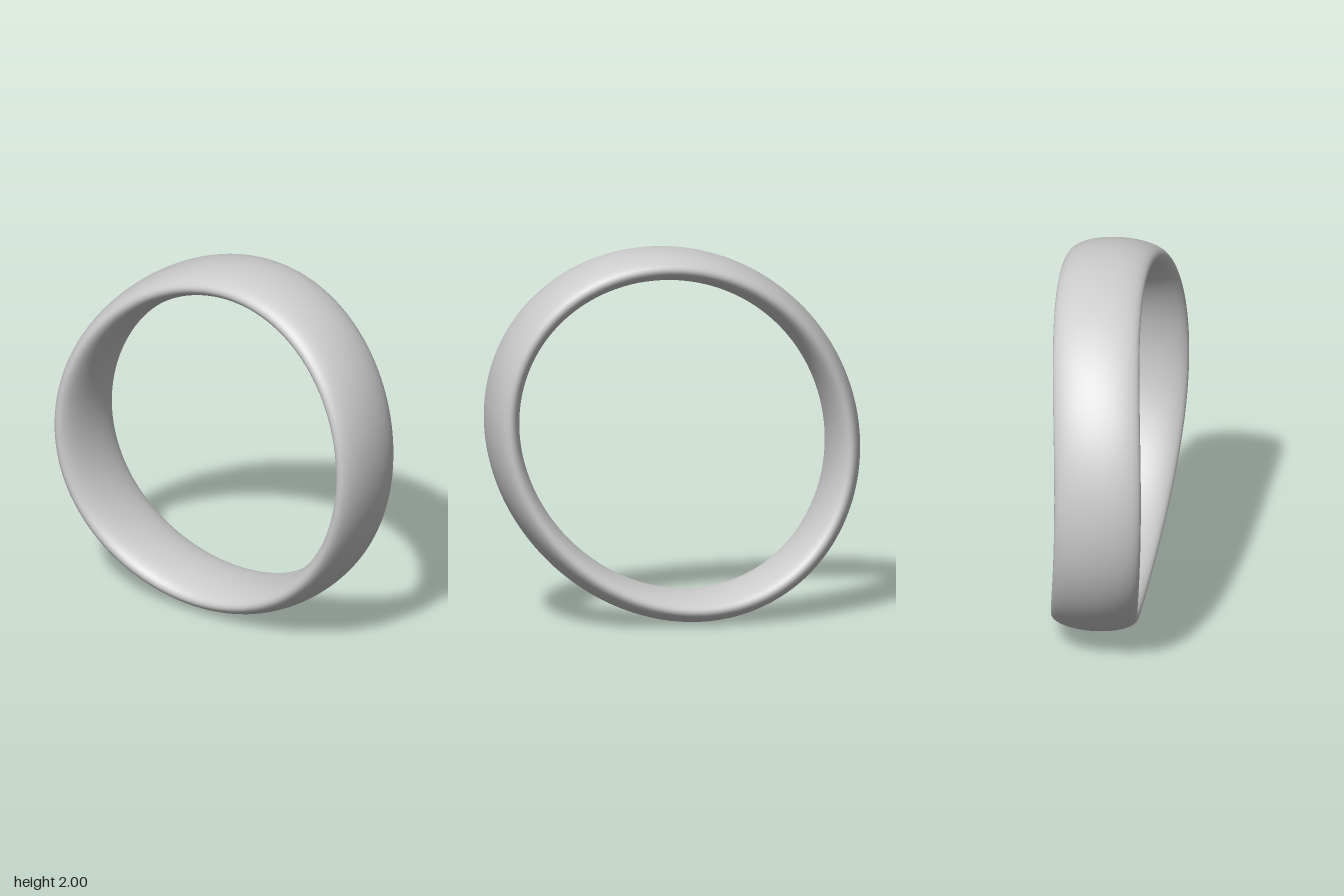
import * as THREE from 'three';

const SEGMENTS = 192;   // steps around the ring
const SIDES = 48;       // steps around the cross-section
const A = 0.969, B = 0.868;                   // half axes of the oval centre line
const HALF_THICK = 0.08, HALF_WIDTH = 0.23;   // half axes of the cross-section
const WAVE = 0.05;                            // saddle bend front to back

// Oval band, its long axis on the diagonal, bent into a gentle saddle
function saddleBand() {
  const positions = [], index = [];
  const p = new THREE.Vector3(), axis = new THREE.Vector3(0, 0, 1);
  for (let i = 0; i < SEGMENTS; i++) {
    const s = (i / SEGMENTS) * Math.PI * 2;
    const normal = new THREE.Vector2(B * Math.cos(s), A * Math.sin(s)).normalize();
    for (let j = 0; j < SIDES; j++) {
      const v = (j / SIDES) * Math.PI * 2;
      const r = HALF_THICK * Math.cos(v);
      p.set(
        A * Math.cos(s) + normal.x * r,
        B * Math.sin(s) + normal.y * r,
        HALF_WIDTH * Math.sin(v) - WAVE * Math.sin(2 * s)
      ).applyAxisAngle(axis, Math.PI / 4);
      positions.push(p.x, p.y, p.z);

      // Both directions wrap round, so the surface closes without a seam
      const i2 = (i + 1) % SEGMENTS, j2 = (j + 1) % SIDES;
      const a = i * SIDES + j, b = i2 * SIDES + j;
      const c = i2 * SIDES + j2, d = i * SIDES + j2;
      index.push(a, b, c, a, c, d);
    }
  }
  const geometry = new THREE.BufferGeometry();
  geometry.setAttribute('position', new THREE.Float32BufferAttribute(positions, 3));
  geometry.setIndex(index);
  geometry.computeVertexNormals();
  return geometry;
}

export function createModel() {
  const group = new THREE.Group();
  group.name = 'ring';
  const band = new THREE.Mesh(saddleBand(), new THREE.MeshStandardMaterial({ color: 0xcccccc }));
  band.name = 'band';
  band.position.y = 1;
  group.add(band);
  return group;
}
